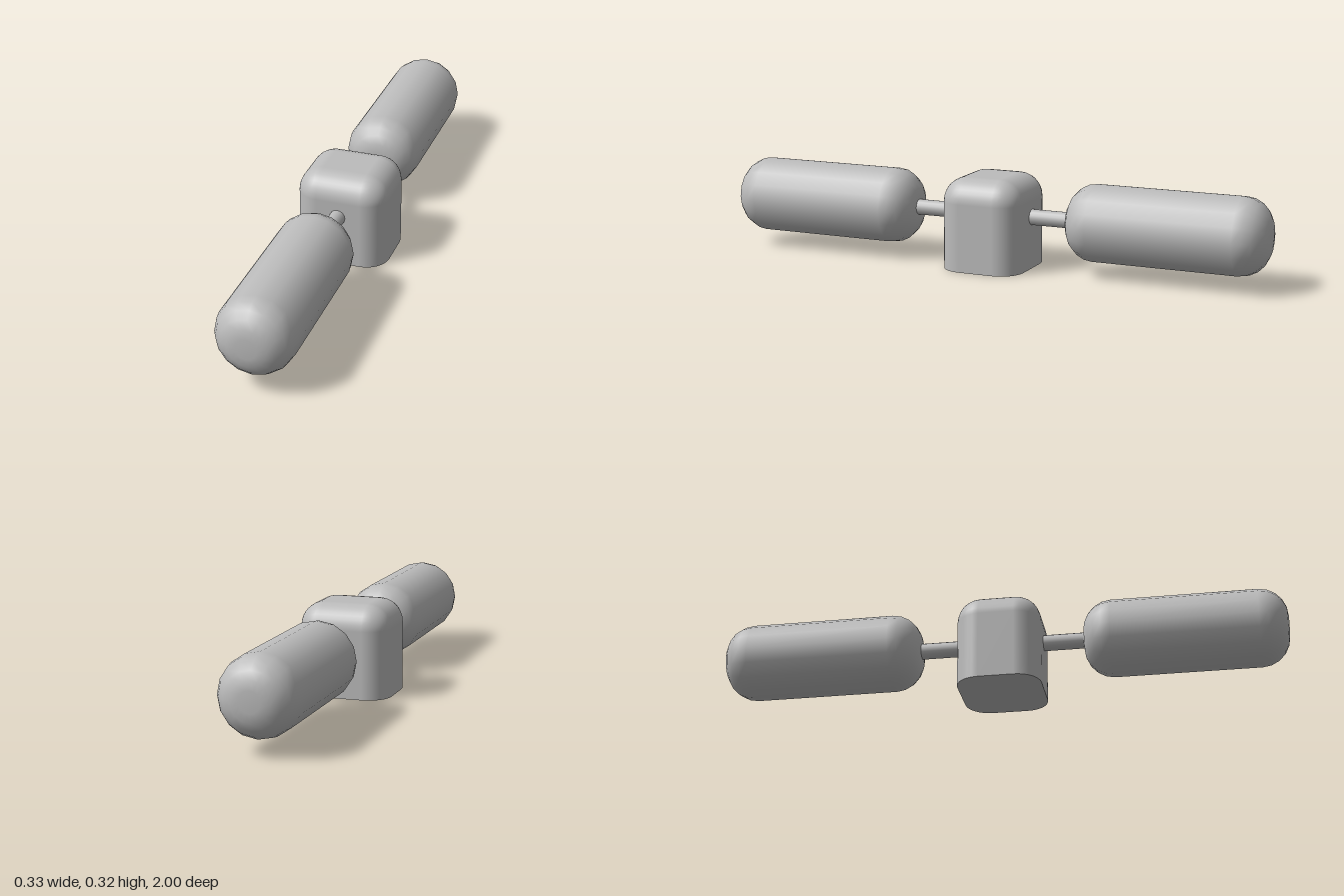
import * as THREE from 'three';
import { RoundedBoxGeometry } from 'three/addons/geometries/RoundedBoxGeometry.js';

const AXIS_Y = 0.184;

// Block with rounded top and vertical edges and a flat base at y = 0
function blockGeometry(w, h, d, r) {
  const geo = new RoundedBoxGeometry(w, h + r, d, 4, r);
  geo.translate(0, (h - r) / 2, 0);
  const pos = geo.attributes.position, nor = geo.attributes.normal;
  for (let i = 0; i < pos.count; i += 3) {
    const isBase = [0, 1, 2].every(k => pos.getY(i + k) < 1e-4);
    for (let k = i; k < i + 3; k++) {
      if (pos.getY(k) < 0) pos.setY(k, 0);
      if (isBase) nor.setXYZ(k, 0, -1, 0);
    }
  }
  return geo;
}

// Cylinder along z with softly rounded ends
function rollGeometry(radius, z0, z1, round) {
  const pts = [new THREE.Vector2(0, z0)];
  const steps = 5;
  for (const [zc, start] of [[z0 + round, -Math.PI / 2], [z1 - round, 0]]) {
    for (let i = 0; i <= steps; i++) {
      const a = start + (i / steps) * Math.PI / 2;
      pts.push(new THREE.Vector2(radius - round + round * Math.cos(a), zc + round * Math.sin(a)));
    }
  }
  pts.push(new THREE.Vector2(0, z1));
  return new THREE.LatheGeometry(pts, 16).rotateX(Math.PI / 2);
}

export function createModel() {
  const model = new THREE.Group();
  const grey = new THREE.MeshStandardMaterial({ color: 0xbcbcbc });
  grey.name = 'grey';

  const add = (name, geo, parent = model) => {
    const mesh = new THREE.Mesh(geo, grey);
    mesh.name = name;
    parent.add(mesh);
    return mesh;
  };

  // Central block
  add('centralBlock', blockGeometry(0.326, 0.325, 0.294, 0.085));

  // One rod and one roll on each side of the block
  for (const [side, turn] of [['front', 0], ['back', Math.PI]]) {
    const arm = new THREE.Group();
    arm.name = side + 'Arm';
    arm.position.y = AXIS_Y;
    arm.rotation.y = turn;
    model.add(arm);
    const rod = new THREE.CylinderGeometry(0.028, 0.028, 0.2, 16).rotateX(Math.PI / 2);
    add(side + 'Rod', rod.translate(0, 0, 0.22), arm);
    add(side + 'Roll', rollGeometry(0.136, 0.29, 1, 0.1), arm);
  }
  return model;
}
